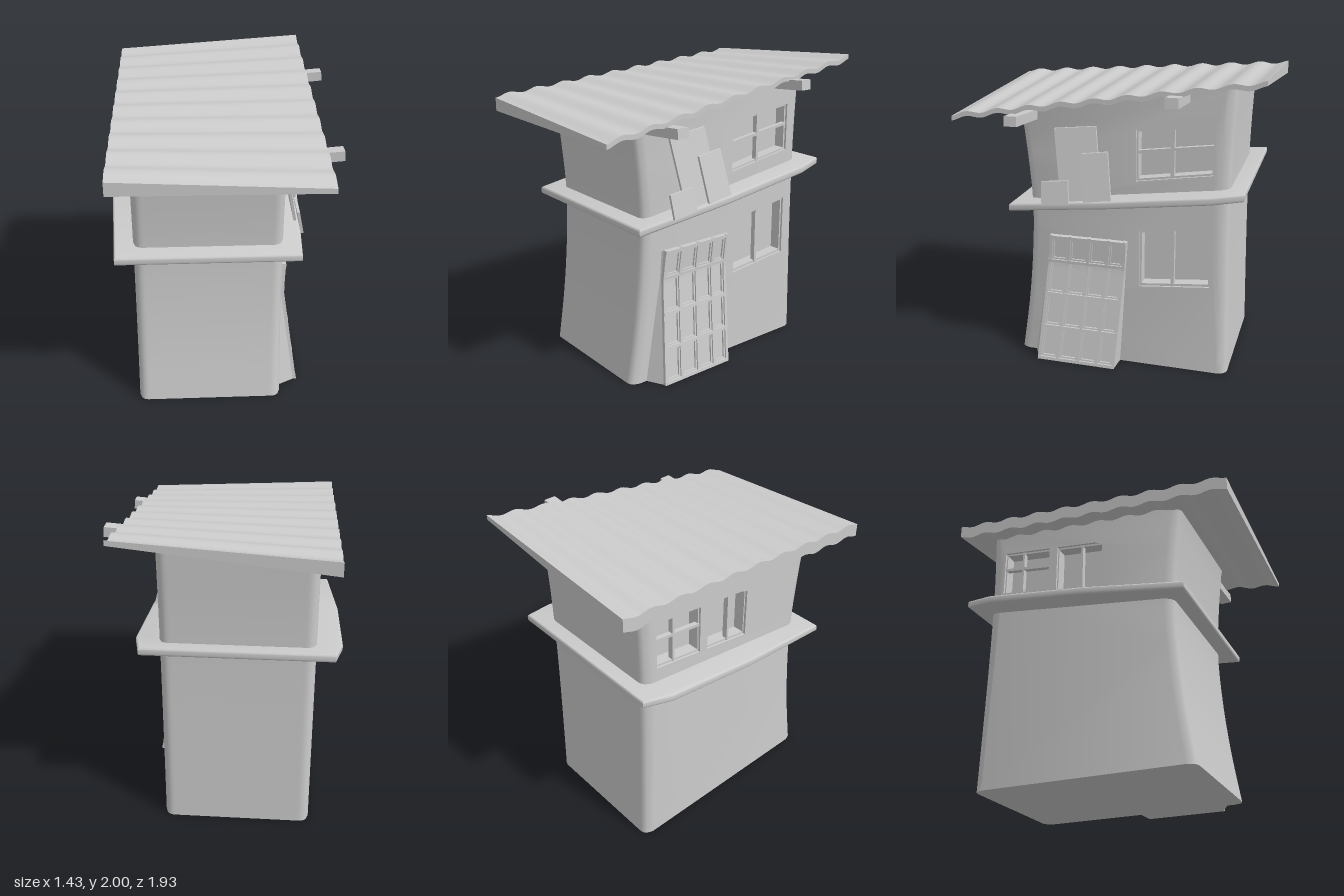
import * as THREE from 'three';
import { toCreasedNormals } from 'three/addons/utils/BufferGeometryUtils.js';

const material = new THREE.MeshStandardMaterial({ color: 0xcccccc });
const lerp = THREE.MathUtils.lerp;
const XL = -0.56, XR = 0.375, RECESS = 0.09;

function addMesh(parent, name, geometry, crease = 0.6) {
  const mesh = new THREE.Mesh(toCreasedNormals(geometry, crease), material);
  mesh.name = name;
  parent.add(mesh);
  return mesh;
}

// Box whose unit coordinates (u, v, w) are moved by a rule f -> [x, y, z]
function mapBox(f, nu = 1, nv = 1, nw = 1) {
  const g = new THREE.BoxGeometry(1, 1, 1, nu, nv, nw);
  const p = g.attributes.position;
  for (let i = 0; i < p.count; i++) {
    p.setXYZ(i, ...f(p.getX(i) + 0.5, p.getY(i) + 0.5, p.getZ(i) + 0.5));
  }
  return g;
}

// Twisted corrugated roof surface
function roofTop(x, z) {
  const s = (x + 0.67) / 1.275, t = (0.97 - z) / 1.93;
  const wave = 0.01 * Math.cos((z - 0.05) * Math.PI * 2 / 0.205);
  return lerp(lerp(1.755, 1.9, t), lerp(1.69, 1.985, t), s) + wave;
}
const roofThickness = x => lerp(0.085, 0.03, (x + 0.67) / 1.275);

// Windows: z runs from z0 (front) to z1 (back), sill and head slope with z
const upperSill = z => 1.256 - 0.153 * z, upperHead = z => 1.59 - 0.122 * z;
const windows = [
  { side: 1, z0: -0.155, z1: -0.645, sill: upperSill, head: upperHead, v: 0.47, h: 0.57 },
  { side: 1, z0: -0.18, z1: -0.64, sill: z => 0.547 - 0.098 * z, head: z => 0.927 - 0.13 * z, v: 0.47 },
  { side: -1, z0: -0.31, z1: -0.65, sill: upperSill, head: upperHead, v: 0.6, h: 0.6 },
  { side: -1, z0: 0.08, z1: -0.25, sill: upperSill, head: upperHead, v: 0.45 },
];
function windowPoint(w, u, v) {
  const z = lerp(w.z0, w.z1, u);
  return [z, lerp(w.sill(z), w.head(z), v)];
}

// Side outline of the house, drawn as (-z, y); y = 2 marks the roof line
function houseShape(side) {
  const front = new THREE.SplineCurve([[0.67, 0], [0.615, 0.35], [0.578, 0.7], [0.562, 1.05], [0.585, 1.4], [0.625, 1.75]]
    .map(([z, y]) => new THREE.Vector2(-z, y))).getPoints(16);
  const back = new THREE.SplineCurve([[-0.77, 0], [-0.757, 0.5], [-0.748, 1], [-0.75, 1.45], [-0.768, 1.88]]
    .map(([z, y]) => new THREE.Vector2(-z, y))).getPoints(16);
  front[16].y = back[16].y = 2;
  const shape = new THREE.Shape([...back, ...front.reverse()]);
  for (const w of windows.filter(w => w.side === side)) {
    shape.holes.push(new THREE.Path([[0, 0], [0, 1], [1, 1], [1, 0]].map(([u, v]) => {
      const [z, y] = windowPoint(w, u, v);
      return new THREE.Vector2(-z, y);
    })));
  }
  return shape;
}

// Slab of the house between two x values, with rounded outer corners
function houseSlab(side, x0, x1) {
  const g = new THREE.ExtrudeGeometry(houseShape(side), { depth: x1 - x0, steps: 6, bevelEnabled: false });
  g.rotateY(Math.PI / 2).translate(x0, 0, 0);
  const p = g.attributes.position, r = 0.06;
  for (let i = 0; i < p.count; i++) {
    const x = p.getX(i), edge = Math.min(x - XL, XR - x);
    let z = p.getZ(i);
    const k = Math.max(0, r - edge);
    const pull = r - Math.sqrt(Math.max(0, r * r - k * k));
    if (z > 0.4) z -= pull;
    if (z < -0.7) z += pull;
    p.setZ(i, z);
    if (p.getY(i) > 1.95) p.setY(i, roofTop(x, z) - roofThickness(x) * 0.6 - 0.01);
  }
  return g;
}

function addWindowBars(parent, w) {
  const face = w.side > 0 ? XR : XL;
  const bar = (name, u0, u1, v0, v1, near, far) => addMesh(parent, name, mapBox((a, b, c) => {
    const [z, y] = windowPoint(w, lerp(u0, u1, a), lerp(v0, v1, b));
    const d = w.side > 0 ? lerp(far, near, c) : lerp(near, far, c);
    return [face - w.side * d, y, z];
  }), 0.3);
  const t = 0.025;
  bar('windowFrameSide', 0, t, 0, 1, 0.015, RECESS);
  bar('windowFrameSide', 1 - t, 1, 0, 1, 0.015, RECESS);
  bar('windowFrameSill', 0, 1, 0, 0.04, 0.015, RECESS);
  bar('windowFrameHead', 0, 1, 0.96, 1, 0.015, RECESS);
  bar('windowMullion', w.v - 0.022, w.v + 0.022, 0, 1, 0.01, 0.045);
  if (w.h) bar('windowCrossbar', 0, 1, w.h - 0.03, w.h + 0.03, 0.01, 0.04);
}

// Leaning door: face position at door coordinates u (to the back), v (up)
const doorX = y => y > 0.68 ? 0.4 + (y - 0.68) * 0.05 : 0.4 + (0.68 - y) * 0.147;
const doorZ = (u, v) => lerp(lerp(0.5, 0.42, v), lerp(-0.04, -0.1, v), u);
function addDoor(parent) {
  const door = new THREE.Group();
  door.name = 'door';
  parent.add(door);
  // Flared surround behind the lattice
  addMesh(door, 'doorSurround', mapBox((u, v, w) => {
    const y = v * 0.87, flare = (u < 0.5 ? 0.02 + 0.06 * (1 - v) : -0.01) * (1 - w);
    return [lerp(0.33, doorX(y) - 0.018, w), y, doorZ(u, v) + flare];
  }, 1, 18, 1), 0.4);
  const bar = (name, u0, u1, v0, v1, d) => addMesh(door, name, mapBox((a, b, c) => {
    const u = lerp(u0, u1, a), v = lerp(v0, v1, b), y = v * 0.875;
    return [doorX(y) + lerp(-0.03, d, c), y, doorZ(u, v)];
  }, 1, v1 - v0 > 0.5 ? 18 : 1, 1), 0.3);
  const cols = [0.02, 0.26, 0.52, 0.77, 0.98], rows = [0.012, 0.27, 0.53, 0.79, 0.985];
  for (const c of cols) bar('doorUpright', c - 0.02, c + 0.02, 0, 1, 0.004);
  for (const r of rows) bar('doorRail', 0, 1, r - 0.012, r + 0.012, 0.006);
  // Thin moulding around each pane
  for (let i = 0; i < 4; i++) for (let j = 0; j < 4; j++) {
    const a = cols[i] + 0.02, b = cols[i + 1] - 0.02, c = rows[j] + 0.012, d = rows[j + 1] - 0.012;
    for (const u of [a, b - 0.02]) bar('paneMoulding', u, u + 0.02, c, d, -0.006);
    for (const v of [c, d - 0.012]) bar('paneMoulding', a, b, v, v + 0.012, -0.006);
  }
}

export function createModel() {
  const house = new THREE.Group();
  house.name = 'house';

  // Walls: solid core plus two side slabs with window openings
  addMesh(house, 'wallCore', houseSlab(0, XL + RECESS, XR - RECESS));
  addMesh(house, 'leftWall', houseSlab(1, XR - RECESS, XR));
  addMesh(house, 'rightWall', houseSlab(-1, XL, XL + RECESS));
  for (const w of windows) addWindowBars(house, w);
  addDoor(house);

  // Corrugated roof
  addMesh(house, 'roof', mapBox((u, v, w) => {
    const x = lerp(-0.67, 0.605, u), z = lerp(-0.965, 0.97, w);
    return [x, roofTop(x, z) - (1 - v) * roofThickness(x), z];
  }, 6, 1, 90));

  // Beam ends under the roof
  for (const [z, y] of [[0.53, 1.68], [-0.45, 1.845]]) {
    const beam = addMesh(house, 'beam', new THREE.BoxGeometry(0.4, 0.062, 0.08), 0.3);
    beam.position.set(0.515, y, z);
    beam.rotation.z = 0.08;
  }

  // Sloping ledge around the walls
  const half = [[0.575, 0.67], [0.62, 0], [0.62, -0.66], [0.575, -0.85]], mid = -0.095;
  const outline = [...half.map(([x, z]) => [mid + x, -z]), ...half.reverse().map(([x, z]) => [mid - x, -z])];
  const ledge = new THREE.ExtrudeGeometry(new THREE.Shape(outline.map(([x, y]) => new THREE.Vector2(x, y))),
    { depth: 0.024, bevelThickness: 0.013, bevelSize: 0.012, bevelOffset: -0.012, bevelSegments: 3 });
  ledge.rotateX(-Math.PI / 2).translate(0, 0.013, 0);
  const p = ledge.attributes.position;
  for (let i = 0; i < p.count; i++) p.setY(i, p.getY(i) + 1.04 + (0.67 - p.getZ(i)) * 0.13);
  addMesh(house, 'ledge', ledge);

  // Boards leaning on the wall: corners [z, y] bottom front, bottom back, top back, top front
  const boards = [
    { c: [[0.31, 1.125], [0.04, 1.155], [0.1, 1.62], [0.375, 1.59]], x: [0.475, 0.385] },
    { c: [[0.15, 1.14], [-0.03, 1.17], [0.01, 1.475], [0.185, 1.45]], x: [0.505, 0.435] },
    { c: [[0.43, 1.11], [0.25, 1.13], [0.26, 1.28], [0.44, 1.26]], x: [0.505, 0.475] },
  ];
  for (const { c, x } of boards) {
    addMesh(house, 'leaningBoard', mapBox((u, v, w) => {
      const at = k => lerp(lerp(c[0][k], c[1][k], u), lerp(c[3][k], c[2][k], u), v);
      return [lerp(x[0], x[1], v) + (w - 0.5) * 0.018, at(1), at(0)];
    }), 0.3);
  }
  return house;
}
